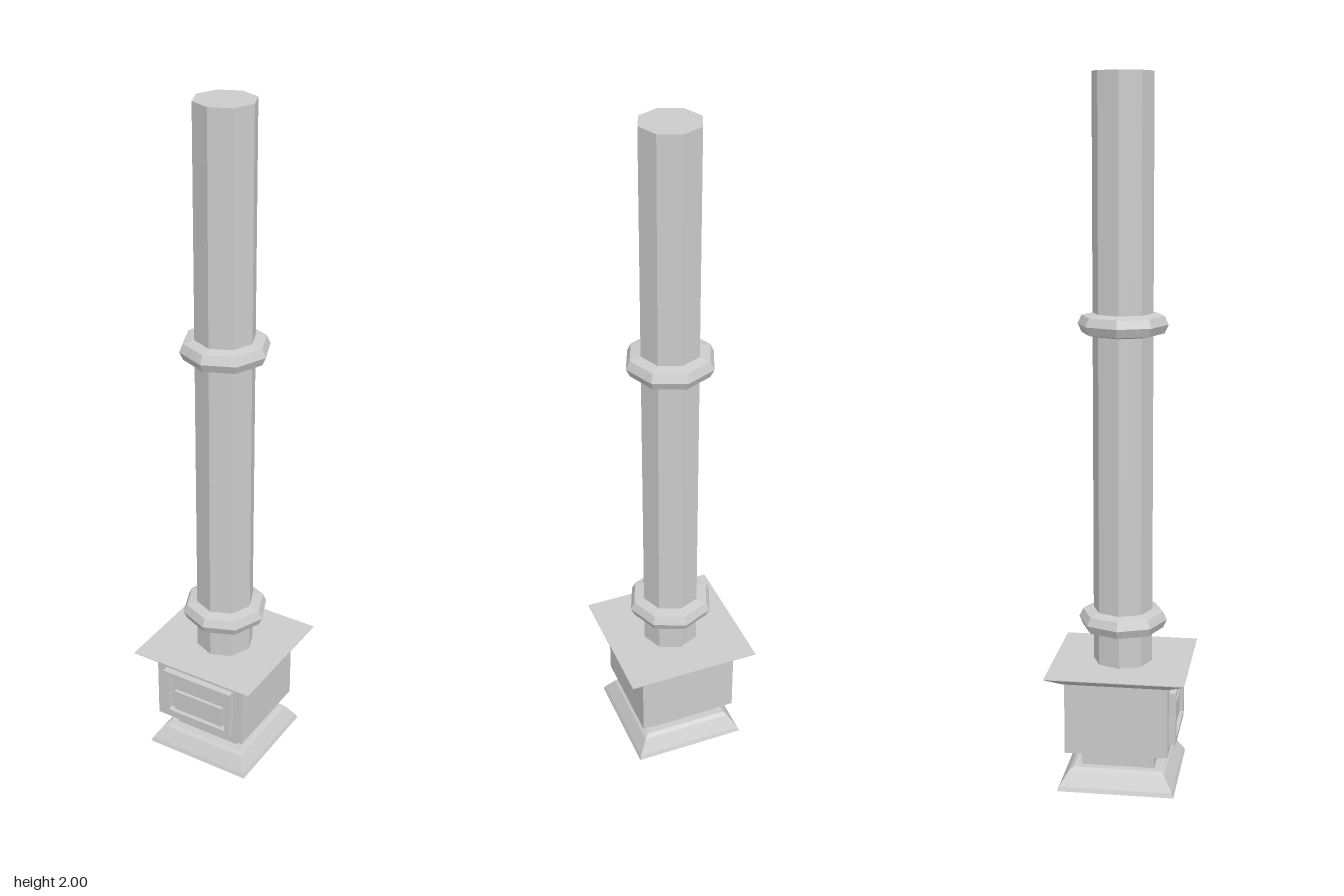
import * as THREE from 'three';

const material = new THREE.MeshStandardMaterial({ color: 0xcccccc, flatShading: true });

export function createModel() {
  const model = new THREE.Group();
  model.name = 'stove';

  const add = (name, geometry, x = 0, y = 0, z = 0) => {
    const mesh = new THREE.Mesh(geometry, material);
    mesh.name = name;
    mesh.position.set(x, y, z);
    model.add(mesh);
    return mesh;
  };
  const box = (name, w, y0, y1, z0, z1) =>
    add(name, new THREE.BoxGeometry(w, y1 - y0, z1 - z0), 0, (y0 + y1) / 2, (z0 + z1) / 2);
  // Profile points are [radius, y], bottom to top
  const lathe = (profile, sides) =>
    new THREE.LatheGeometry(profile.map(([r, y]) => new THREE.Vector2(r, y)), sides);
  // Square solid whose profile gives half widths
  const square = (profile) =>
    lathe(profile.map(([h, y]) => [h * Math.SQRT2, y]), 4).rotateY(Math.PI / 4);

  // Flared foot and neck
  add('foot', square([[0, 0], [0.167, 0], [0.162, 0.012], [0.137, 0.052], [0.126, 0.06], [0, 0.06]]));
  box('neck', 0.21, 0.06, 0.11, -0.105, 0.105);

  // Firebox with overhanging top plate
  box('firebox', 0.294, 0.11, 0.318, -0.147, 0.147);
  add('topPlate', square([[0, 0.317], [0.15, 0.317], [0.197, 0.345], [0.197, 0.347], [0, 0.347]]));

  // Door frame with an open window
  const frame = new THREE.Shape();
  const rect = (path, h, y0, y1) =>
    path.moveTo(-h, y0).lineTo(h, y0).lineTo(h, y1).lineTo(-h, y1).closePath();
  rect(frame, 0.116, 0.138, 0.293);
  const opening = new THREE.Path();
  rect(opening, 0.098, 0.153, 0.278);
  frame.holes.push(opening);
  add('doorFrame', new THREE.ExtrudeGeometry(frame, { depth: 0.022, bevelEnabled: false }), 0, 0, 0.145);
  box('doorPanel', 0.166, 0.155, 0.222, 0.14, 0.157);

  // Octagonal flue pipe and its two collars
  add('fluePipe', new THREE.CylinderGeometry(0.085, 0.085, 1.655, 8), 0, 1.1725, 0);
  const collar = [[0.08, -0.032], [0.116, -0.024], [0.127, 0], [0.116, 0.024], [0.08, 0.032]];
  for (const [name, y] of [['lowerCollar', 0.471], ['upperCollar', 1.322]]) {
    add(name, lathe(collar, 8), 0, y, 0);
  }

  return model;
}
